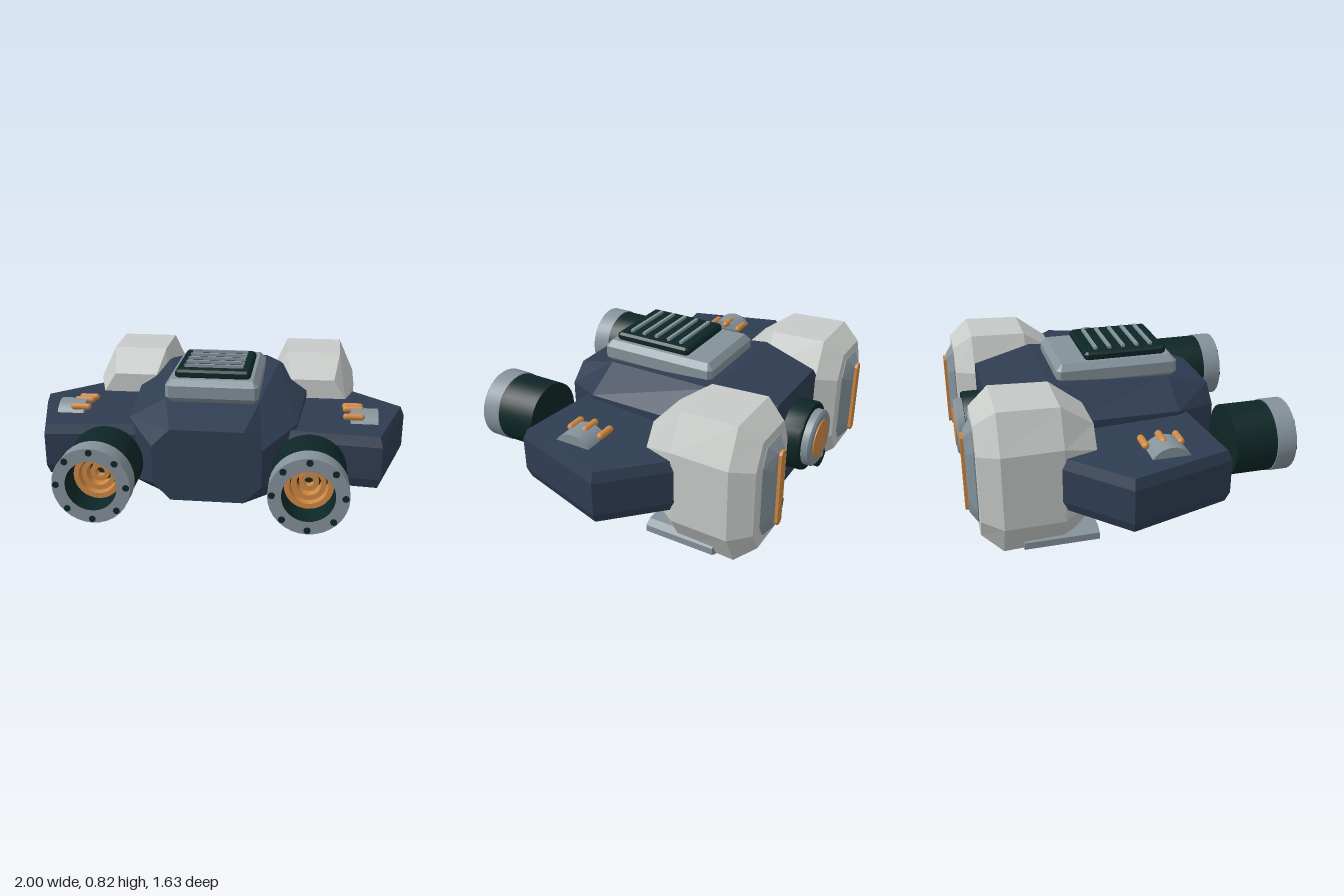
import * as THREE from 'three';
import { toCreasedNormals } from 'three/addons/utils/BufferGeometryUtils.js';

const mat = (name, color) => {
  const m = new THREE.MeshStandardMaterial({ color });
  m.name = name;
  return m;
};

// Octagon across z: half width w, flat half width t, bottom y0, top y1, side edge from s0 to s1
const octagon = ([z, w, t, y0, y1, s0, s1]) => [
  [w, s0, z], [w, s1, z], [t, y1, z], [-t, y1, z], [-w, s1, z], [-w, s0, z], [-t, y0, z], [t, y0, z],
];

// Joins rings listed from front to back and closes both ends
function loft(sections) {
  const rings = sections.map(octagon), pos = [];
  const tri = (a, b, c) => pos.push(...a, ...b, ...c);
  for (let k = 0; k < rings.length - 1; k++) {
    const A = rings[k], B = rings[k + 1];
    for (let i = 0; i < 8; i++) {
      const j = (i + 1) % 8;
      tri(A[i], B[i], B[j]);
      tri(A[i], B[j], A[j]);
    }
  }
  const F = rings[0], L = rings[rings.length - 1];
  for (let i = 1; i < 7; i++) {
    tri(F[0], F[i], F[i + 1]);
    tri(L[0], L[i + 1], L[i]);
  }
  const g = new THREE.BufferGeometry();
  g.setAttribute('position', new THREE.Float32BufferAttribute(pos, 3));
  g.computeVertexNormals();
  return g;
}

// Solid of revolution along z from [radius, z] points
function turned(points, sides = 32) {
  const g = new THREE.LatheGeometry(points.map(([r, z]) => new THREE.Vector2(r, z)), sides);
  g.rotateX(Math.PI / 2);
  return toCreasedNormals(g, 0.5);
}
const ringProfile = (r0, r1, z0, z1) => [[r0, z0], [r1, z0], [r1, z1], [r0, z1], [r0, z0]];

// Bevelled plate lying flat, outline given as [x, z]
function plate(outline, y0, y1, inset, bevel) {
  const s = new THREE.Shape(outline.map(([x, z]) => new THREE.Vector2(x, -z)));
  const g = new THREE.ExtrudeGeometry(s, {
    depth: y1 - y0 - 2 * bevel, bevelEnabled: true, bevelSize: inset,
    bevelOffset: -inset, bevelThickness: bevel, bevelSegments: 1,
  });
  g.rotateX(-Math.PI / 2);
  g.translate(0, y0 + bevel, 0);
  return g;
}
const cutRect = (x0, x1, z0, z1, c) => [
  [x0 + c, z1], [x1 - c, z1], [x1, z1 - c], [x1, z0 + c], [x1 - c, z0], [x0 + c, z0], [x0, z0 + c], [x0, z1 - c],
];

export function createModel() {
  const navy = mat('navy hull', 0x2f3d52);
  const pale = mat('pale armour', 0xc6cac7);
  const grey = mat('grey metal', 0x84929a);
  const dark = mat('dark metal', 0x0e2626);
  const orange = mat('orange glow', 0xcf8843);
  const model = new THREE.Group();
  model.name = 'model';
  const add = (parent, name, geo, material, x = 0, y = 0, z = 0) => {
    const m = new THREE.Mesh(geo, material);
    m.name = name;
    m.position.set(x, y, z);
    parent.add(m);
    return m;
  };

  // Faceted hull
  add(model, 'hull', loft([
    [0.52, 0.27, 0.18, 0.21, 0.58, 0.3, 0.49],
    [0.28, 0.43, 0.24, 0.13, 0.66, 0.22, 0.55],
    [-0.35, 0.48, 0.31, 0.09, 0.7, 0.19, 0.58],
    [-0.66, 0.32, 0.22, 0.13, 0.65, 0.24, 0.54],
  ]), navy);

  // Roof hatch with slatted vent
  add(model, 'hatchBase', plate(cutRect(-0.235, 0.235, -0.3, 0.33, 0.02), 0.65, 0.77, 0.03, 0.03), grey);
  add(model, 'ventPanel', plate(cutRect(-0.19, 0.19, -0.145, 0.28, 0.015), 0.765, 0.81, 0.012, 0.012), dark);
  for (let i = 0; i < 5; i++) {
    add(model, 'ventSlat', new THREE.BoxGeometry(0.3, 0.02, 0.016), grey, 0, 0.814, -0.08 + i * 0.0725);
  }

  // Rear thruster
  add(model, 'thrusterHousing', turned([[0, -0.76], [0.175, -0.76], [0.18, -0.75], [0.18, -0.6], [0, -0.6]]), dark, 0, 0.395);
  add(model, 'thrusterRing', turned([[0, -0.805], [0.135, -0.805], [0.147, -0.795], [0.147, -0.75]]), grey, 0, 0.395);
  add(model, 'thrusterGlow', turned([[0, -0.81], [0.1, -0.81], [0.1, -0.8]]), orange, 0, 0.395);

  for (const s of [1, -1]) {
    const side = new THREE.Group();
    side.name = s > 0 ? 'leftSide' : 'rightSide';
    model.add(side);
    const mx = (pts) => (s > 0 ? pts : pts.map(([x, z]) => [-x, z]).reverse());

    // Wing with raised coil on top
    add(side, 'wing', plate(mx([[0.3, 0.335], [0.85, 0.39], [1, -0.12], [0.73, -0.39], [0.3, -0.39]]), 0.26, 0.53, 0.018, 0.05), navy);
    const coil = new THREE.CylinderGeometry(0.11, 0.11, 0.14, 32);
    coil.rotateZ(Math.PI / 2);
    add(side, 'coilHousing', coil, grey, s * 0.77, 0.47, 0.1);
    for (const z of [0.0, 0.085, 0.17]) {
      const bar = new THREE.CapsuleGeometry(0.018, 0.075, 3, 10);
      bar.rotateZ(Math.PI / 2);
      add(side, 'coilBar', bar, orange, s * 0.715, z === 0.085 ? 0.572 : 0.56, z);
    }

    // Front cannon
    const gun = new THREE.Group();
    gun.name = 'cannon';
    gun.position.set(s * 0.497, 0.397, 0);
    side.add(gun);
    add(gun, 'barrel', turned([[0, 0.495], [0.18, 0.495], [0.18, 0.72]]), dark);
    add(gun, 'muzzleRing', turned([[0.17, 0.71], [0.185, 0.71], [0.185, 0.81], [0.122, 0.81]]), grey);
    add(gun, 'bore', turned([[0.122, 0.81], [0.12, 0.6], [0, 0.6]]), dark);
    [[0.022, 0.047, 0.64], [0.058, 0.082, 0.665], [0.09, 0.115, 0.69]].forEach(([a, b, z]) =>
      add(gun, 'glowRing', turned(ringProfile(a, b, 0.59, z)), orange));
    for (let i = 0; i < 8; i++) {
      const a = (i * Math.PI) / 4;
      const bolt = new THREE.CylinderGeometry(0.016, 0.016, 0.02, 10);
      bolt.rotateX(Math.PI / 2);
      add(gun, 'muzzleBolt', bolt, dark, Math.cos(a) * 0.165, Math.sin(a) * 0.165, 0.804);
    }

    // Rear armour pod with stepped panel and light strip
    const px = s * 0.5;
    add(side, 'pod', loft([
      [-0.21, 0.185, 0.12, 0.19, 0.635, 0.28, 0.53],
      [-0.37, 0.235, 0.15, 0.04, 0.75, 0.2, 0.575],
      [-0.66, 0.24, 0.155, 0.03, 0.76, 0.2, 0.575],
      [-0.76, 0.17, 0.11, 0.11, 0.685, 0.22, 0.56],
    ]), pale, px);
    add(side, 'podPanel', loft([
      [-0.75, 0.11, 0.07, 0.16, 0.64, 0.24, 0.55],
      [-0.765, 0.11, 0.07, 0.16, 0.64, 0.24, 0.55],
      [-0.8, 0.06, 0.035, 0.2, 0.6, 0.27, 0.52],
    ]), grey, px);
    add(side, 'podLight', loft([
      [-0.79, 0.026, 0.016, 0.2, 0.6, 0.215, 0.585],
      [-0.815, 0.024, 0.014, 0.2, 0.6, 0.215, 0.585],
    ]), orange, px);

    // Underside skid, roller and hook ring
    add(side, 'skid', loft([
      [-0.2, 0.145, 0.11, 0.025, 0.1, 0.045, 0.08],
      [-0.565, 0.145, 0.11, 0.025, 0.1, 0.045, 0.08],
    ]), grey, s * 0.545);
    add(side, 'roller', turned([
      [0, -0.47], [0.105, -0.47], [0.105, -0.21], [0, -0.21],
    ], 20), navy, s * 0.305, 0.105);
    add(side, 'rollerAxle', turned([[0, -0.66], [0.06, -0.66], [0.06, -0.46]], 20), navy, s * 0.305, 0.11);
    add(side, 'hookRing', turned(ringProfile(0.045, 0.08, -0.72, -0.665), 24), dark, s * 0.3, 0.115);
  }
  return model;
}
